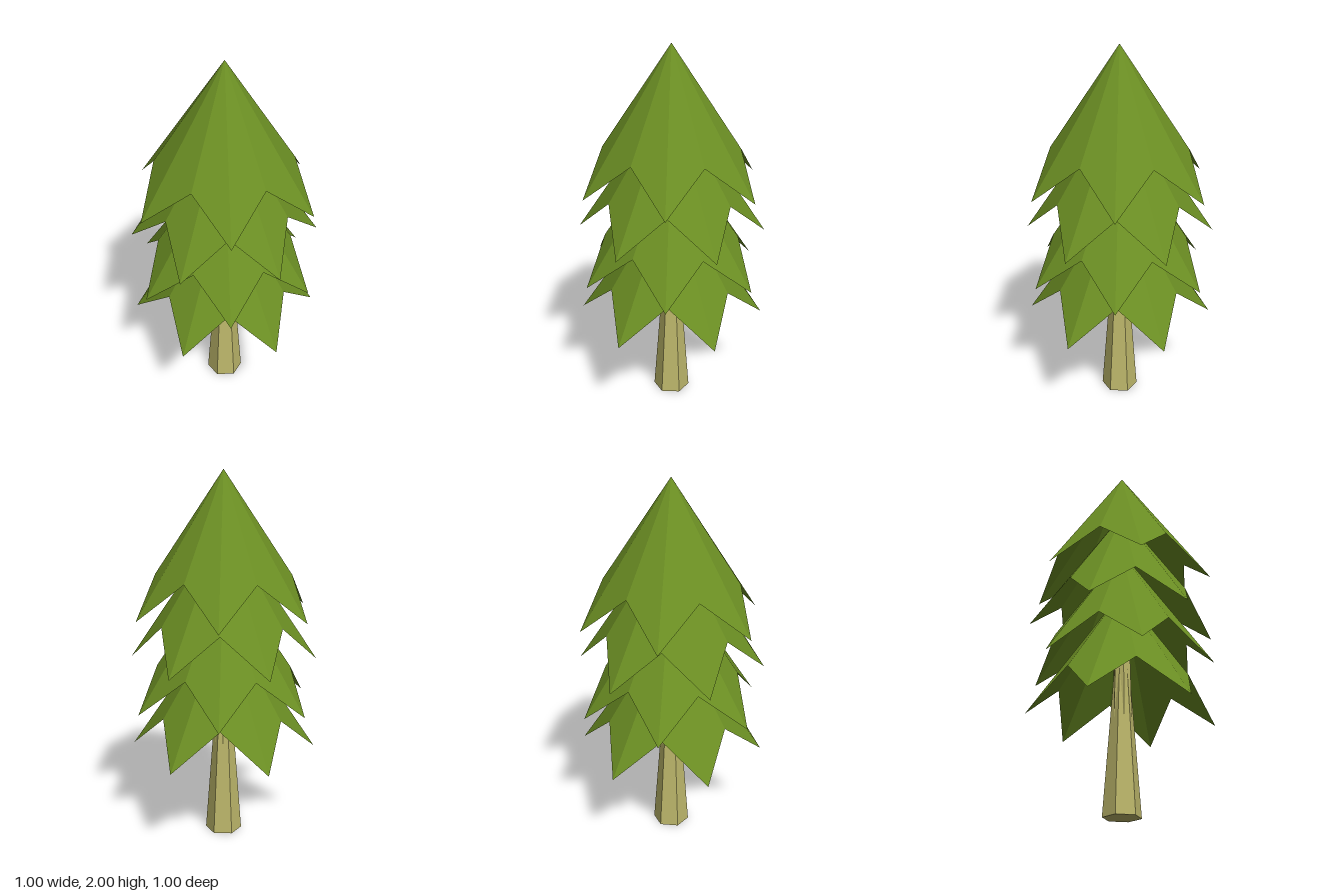
import * as THREE from 'three';

const leafMaterial = new THREE.MeshStandardMaterial({
  color: 0x6b8e23, flatShading: true, side: THREE.DoubleSide,
});
const barkMaterial = new THREE.MeshStandardMaterial({ color: 0xbdb76b, flatShading: true });

// Open star-shaped cone, apex at the origin: long tips alternate with short notches
function starCone() {
  const points = 6, segments = points * 2;
  const tip = { r: 0.5, y: -0.745 }, notch = { r: 0.36, y: -0.54 };
  const geometry = new THREE.ConeGeometry(tip.r, 1, segments, 1, true);
  geometry.translate(0, -0.5, 0);
  const pos = geometry.attributes.position;
  for (let i = 0; i <= segments; i++) {
    const { r, y } = i % 2 === 0 ? tip : notch;
    const a = (i / segments) * Math.PI * 2;
    pos.setXYZ(segments + 1 + i, r * Math.sin(a), y, r * Math.cos(a));
  }
  geometry.computeVertexNormals();
  return geometry;
}

// Tapered six-sided log between two heights
function log(name, rTop, rBottom, y0, y1, turn) {
  const geometry = new THREE.CylinderGeometry(rTop, rBottom, y1 - y0, 6);
  geometry.rotateY(turn);
  geometry.translate(0, (y0 + y1) / 2, 0);
  const mesh = new THREE.Mesh(geometry, barkMaterial);
  mesh.name = name;
  return mesh;
}

export function createModel() {
  const tree = new THREE.Group();
  tree.name = 'pineTree';

  // Trunk: a wide lower log and a slimmer one, turned by half a side, growing out of it
  const trunk = new THREE.Group();
  trunk.name = 'trunk';
  trunk.add(log('lowerTrunk', 0.025, 0.1, 0, 1, Math.PI / 6));
  trunk.add(log('upperTrunk', 0.03, 0.058, 0.35, 1.45, 0));
  tree.add(trunk);

  // Four equal branch tiers, each turned by half a point from the one above
  const geometry = starCone();
  for (let i = 0; i < 4; i++) {
    const tier = new THREE.Mesh(geometry, leafMaterial);
    tier.name = `branchTier${i + 1}`;
    tier.position.y = 2 - i * 0.25;
    tier.rotation.y = (i % 2) * Math.PI / 6;
    tree.add(tier);
  }
  return tree;
}
